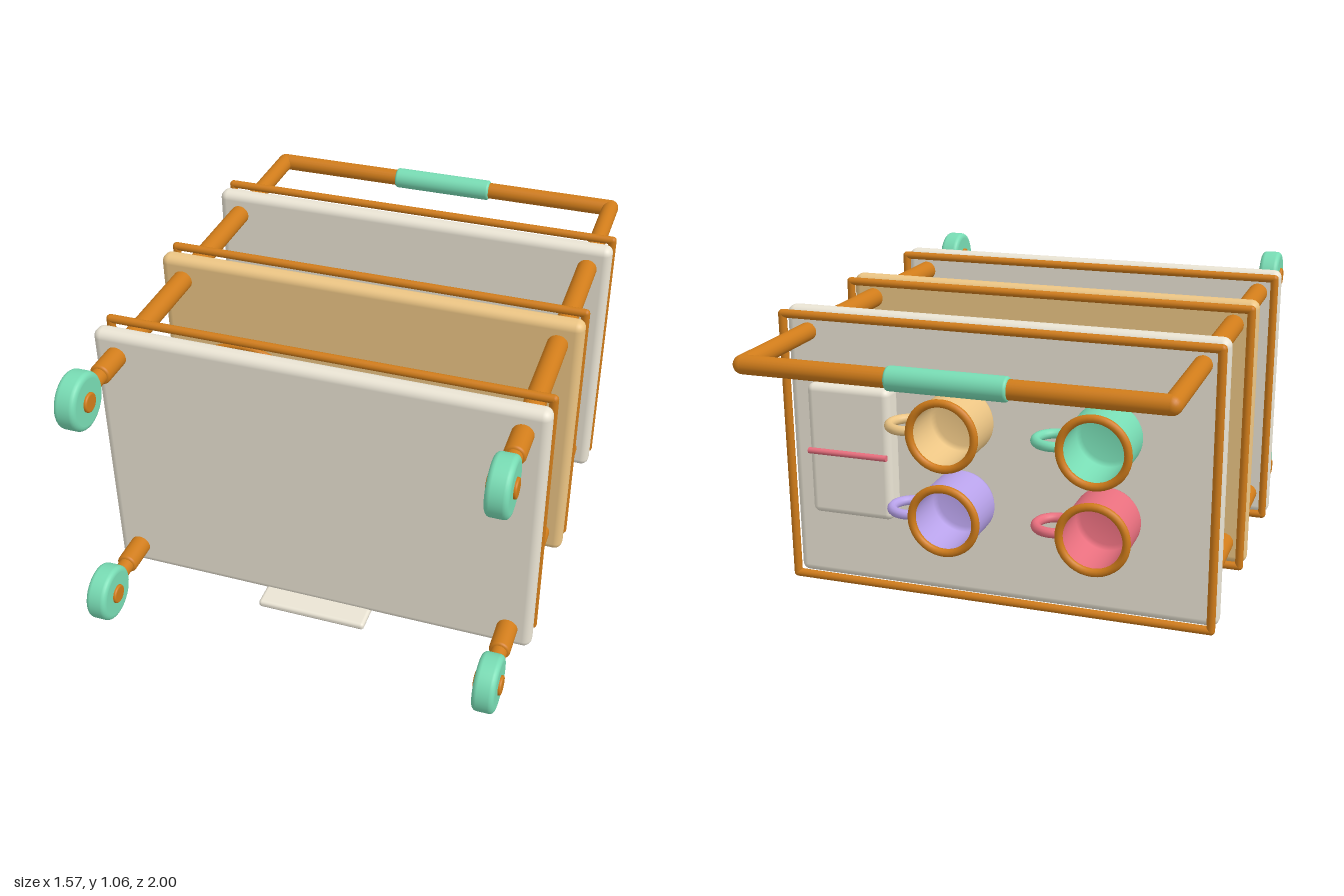
import * as THREE from 'three';
import { RoundedBoxGeometry } from 'three/addons/geometries/RoundedBoxGeometry.js';

const mat = (c) => new THREE.MeshStandardMaterial({ color: c });
const copper = mat(0xd07c1a), mint = mat(0x78dcb4), cream = mat(0xeae4d4), tan = mat(0xecc584),
  rose = mat(0xe86f7e), lilac = mat(0xb8a2ea);

// The cart is modelled upright (y up) and then laid on its back.
export function createModel() {
  const model = new THREE.Group();
  const cart = new THREE.Group();
  cart.name = 'servingCart';
  cart.rotation.x = -Math.PI / 2;
  cart.position.y = 0.54;
  model.add(cart);

  const add = (name, geo, material, x = 0, y = 0, z = 0, parent = cart) => {
    const m = new THREE.Mesh(geo, material);
    m.name = name;
    m.position.set(x, y, z);
    parent.add(m);
    return m;
  };

  // Straight round bar between two points
  const bar = (name, a, b, r, material = copper) => {
    const p = new THREE.Vector3(...a), q = new THREE.Vector3(...b);
    const d = q.clone().sub(p);
    const m = add(name, new THREE.CylinderGeometry(r, r, d.length(), 20), material);
    m.position.copy(p).add(q).multiplyScalar(0.5);
    m.quaternion.setFromUnitVectors(new THREE.Vector3(0, 1, 0), d.normalize());
    return m;
  };

  // Solid disc with rounded edges, standing on y = 0
  const disc = (r, h, e) => {
    const pts = [new THREE.Vector2(0, 0), new THREE.Vector2((r - e) * 0.98, 0)];
    for (let i = 0; i <= 5; i++) {
      const t = -Math.PI / 2 + i * Math.PI / 10;
      pts.push(new THREE.Vector2(r - e + e * Math.cos(t), e + e * Math.sin(t)));
    }
    for (let i = 0; i <= 5; i++) {
      const t = i * Math.PI / 10;
      pts.push(new THREE.Vector2(r - e + e * Math.cos(t), h - e + e * Math.sin(t)));
    }
    pts.push(new THREE.Vector2((r - e) * 0.98, h), new THREE.Vector2(0, h));
    return new THREE.LatheGeometry(pts, 40);
  };

  // Open vessel with a wall
  const vessel = (r, h, w, e) => new THREE.LatheGeometry([
    [0, 0], [r - e, 0], [r - e * 0.3, e * 0.3], [r, e], [r, e * 1.2], [r, h - 0.005], [r, h],
    [r - w, h], [r - w, h - 0.005], [r - w, w + e], [r - w - e * 0.5, w], [0, w],
  ].map(([x, y]) => new THREE.Vector2(x, y)), 36);

  const ring = (name, R, t, x, y, z, parent = cart) => {
    const m = add(name, new THREE.TorusGeometry(R, t, 12, 40), copper, x, y, z, parent);
    m.rotation.x = Math.PI / 2;
    return m;
  };

  // Shelves, each with a guard rail
  [[-0.6, cream, 'bottom'], [-0.065, tan, 'middle'], [0.48, cream, 'top']].forEach(([y, m, n]) => {
    add(n + 'Shelf', new RoundedBoxGeometry(1.57, 0.07, 1.012, 4, 0.03), m, 0, y, 0);
    const ry = y + 0.081, X = 0.77, Z = 0.49;
    for (const s of [-1, 1]) {
      bar(n + 'RailLong', [-X, ry, s * Z], [X, ry, s * Z], 0.015);
      bar(n + 'RailSide', [s * X, ry, -Z], [s * X, ry, Z], 0.015);
      for (const k of [-1, 1]) add(n + 'RailCorner', new THREE.SphereGeometry(0.015, 12, 8), copper, s * X, ry, k * Z);
    }
  });

  // Posts and casters
  for (const sx of [-1, 1]) for (const sz of [-1, 1]) {
    const x = sx * 0.7, z = sz * 0.42;
    add('post', disc(0.037, 1.22, 0.01), copper, x, -0.755, z);
    add('casterStem', disc(0.028, 0.08, 0.01), copper, x, -0.815, z);
    const wheel = new THREE.Group();
    wheel.name = 'caster';
    wheel.position.set(x, -0.9, z);
    wheel.rotation.z = Math.PI / 2;
    cart.add(wheel);
    add('wheel', disc(0.1, 0.076, 0.018), mint, 0, -0.038, 0, wheel);
    add('axle', disc(0.034, 0.096, 0.006), copper, 0, -0.048, 0, wheel);
  }

  // Push handle with grip
  for (const s of [-1, 1]) {
    bar('handleArm', [s * 0.7, 0.515, 0.42], [s * 0.7, 0.96, 0.42], 0.032);
    add('handleCorner', new THREE.SphereGeometry(0.032, 20, 14), copper, s * 0.7, 0.96, 0.42);
  }
  bar('handleBar', [-0.7, 0.96, 0.42], [0.7, 0.96, 0.42], 0.032);
  add('grip', disc(0.04, 0.4, 0.01), mint, 0.2, 0.96, 0.42).rotation.z = Math.PI / 2;

  // Front plaque with a paw-shaped ornament
  add('plaque', new RoundedBoxGeometry(0.4, 0.18, 0.028, 3, 0.012), cream, 0, -0.625, -0.504);
  const pad = (x, y, r, k) => add('pawPad', new THREE.SphereGeometry(r, 18, 12), copper, x, y, -0.518).scale.set(1, k, 0.02 / r);
  pad(0, -0.65, 0.05, 0.8);
  for (const s of [-1, 1]) {
    pad(s * 0.065, -0.622, 0.024, 1);
    pad(s * 0.026, -0.588, 0.024, 1);
  }

  // Bottom shelf: plate stack and lidded pot
  const Z = 0.018;
  for (let i = 0; i < 6; i++) add('plate', disc(0.265, 0.042, 0.014), i % 2 ? mint : cream, -0.4, -0.556 + i * 0.0455, Z);
  ring('topPlateRim', 0.27, 0.011, -0.4, -0.266, Z);
  add('pot', disc(0.224, 0.272, 0.025), rose, 0.37, -0.556, Z);
  add('potLid', disc(0.213, 0.06, 0.022), cream, 0.37, -0.286, Z);
  add('lidKnob', new THREE.SphereGeometry(0.047, 20, 14), copper, 0.37, -0.208, Z).scale.y = 0.75;

  // Middle shelf: bowls, small plates and a saucepan
  [[0.218, tan], [0.201, rose], [0.186, cream]].forEach(([r, m], i) =>
    add('bowl', disc(r, 0.083, 0.025), m, -0.38, -0.015 + i * 0.089, Z));
  for (let i = 0; i < 4; i++) add('smallPlate', disc(0.205, 0.037, 0.013), i % 2 ? cream : lilac, 0.37, -0.015 + i * 0.0385, Z);
  add('saucepan', vessel(0.16, 0.275, 0.015, 0.03), mint, 0.37, 0.155, Z);
  ring('saucepanRim', 0.157, 0.017, 0.37, 0.426, Z);

  // Top shelf: four mugs
  const mugs = [[-0.4, 0.16, mint], [-0.4, -0.14, rose], [0.12, 0.16, tan], [0.12, -0.14, lilac]];
  for (const [x, z, m] of mugs) {
    const mug = new THREE.Group();
    mug.name = 'mug';
    mug.position.set(x, 0.525, z);
    cart.add(mug);
    add('mugBody', vessel(0.118, 0.2, 0.012, 0.022), m, 0, 0, 0, mug);
    ring('mugRim', 0.115, 0.014, 0, 0.202, 0, mug);
    const h = add('mugHandle', new THREE.TorusGeometry(0.068, 0.017, 12, 28, Math.PI * 1.3), m, 0.15, 0.118, 0, mug);
    h.rotation.z = -Math.PI * 0.65;
  }

  // Folded napkin box with a ribbon
  add('napkinBox', new RoundedBoxGeometry(0.31, 0.092, 0.48, 4, 0.025), cream, 0.518, 0.562, Z);
  bar('ribbon', [0.37, 0.62, Z], [0.666, 0.62, Z], 0.011, rose);

  return model;
}
